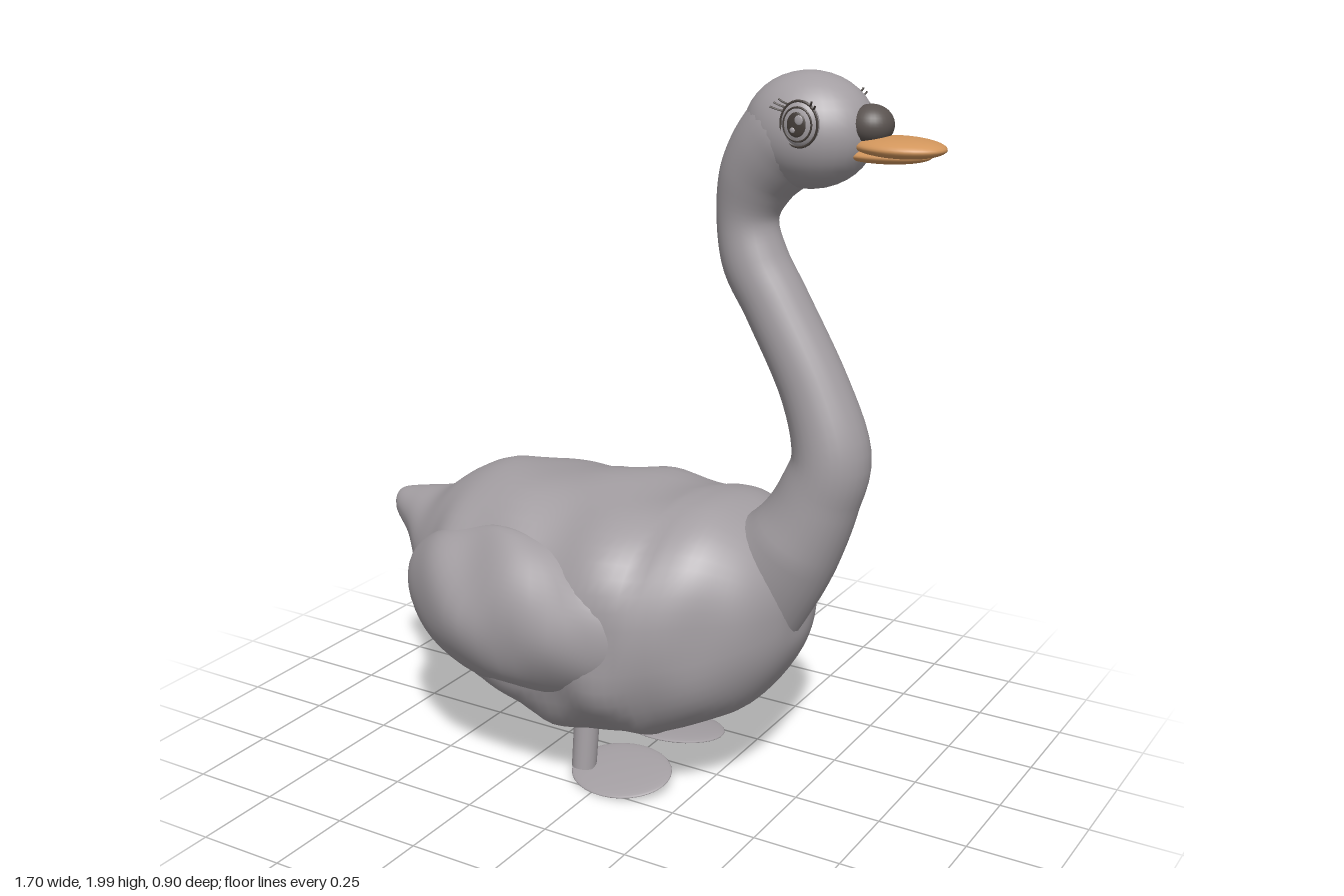
import * as THREE from 'three';

const mat = (name, color) => {
  const m = new THREE.MeshStandardMaterial({ color });
  m.name = name;
  return m;
};

// Skin a list of rings (each an array of [x, y, z]) into one smooth surface
function loft(rings) {
  const n = rings[0].length, index = [];
  for (let i = 0; i < rings.length - 1; i++) {
    for (let j = 0; j < n; j++) {
      const a = i * n + j, b = i * n + (j + 1) % n;
      index.push(a, b, a + n, b, b + n, a + n);
    }
  }
  const g = new THREE.BufferGeometry();
  g.setAttribute('position', new THREE.Float32BufferAttribute(rings.flat(2), 3));
  g.setIndex(index);
  g.computeVertexNormals();
  return g;
}

const spline = pts => new THREE.CatmullRomCurve3(pts.map(p => new THREE.Vector3(...p)), false, 'catmullrom');

// Soft uneven bumps for the plumage
const lump = (x, y, z) =>
  Math.sin(11 * x + 5 * y + 1) * Math.sin(12 * z + 3 * x) * 0.5 +
  Math.sin(21 * x - 9 * z) * Math.sin(17 * y + 8 * z + 2) * 0.5;

// Folded wing: a flattened ellipsoid bent around the flank
function wingGeometry(side, spread) {
  const g = new THREE.SphereGeometry(1, 48, 32);
  const p = g.attributes.position;
  for (let i = 0; i < p.count; i++) {
    const u = p.getX(i), v = p.getY(i), w = p.getZ(i);
    const x = -0.19 + u * 0.45, y = 0.52 + v * (0.225 - 0.02 * u);
    const bend = (u < 0 ? 0.12 : 0.06) * u * u + 0.05 * v * v;
    const bump = 0.016 * lump(x, y, w * 0.2 + side * 0.3) * (1 - u ** 4);
    p.setXYZ(i, x, y + bump, side * (spread - bend + bump) + w * 0.12);
  }
  g.computeVertexNormals();
  return g;
}

export function createModel() {
  const goose = new THREE.Group();
  goose.name = 'goose';
  const grey = mat('plumage grey', 0xa39ea2);
  const orange = mat('beak orange', 0xd2965c);
  const dark = mat('nose dark', 0x5a5350);
  const line = mat('eye line', 0x453e3a);

  const add = (name, geo, material, pos = [0, 0, 0], scale = [1, 1, 1], rot = [0, 0, 0], parent = goose) => {
    const m = new THREE.Mesh(geo, material);
    m.name = name;
    m.position.set(...pos);
    m.scale.set(...scale);
    m.rotation.set(...rot);
    parent.add(m);
  };
  const ball = new THREE.SphereGeometry(1, 32, 20);

  // Body and tail: x, bottom, top, half width
  const sections = [
    [-0.85, 0.63, 0.645, 0.005], [-0.835, 0.595, 0.675, 0.04], [-0.75, 0.53, 0.695, 0.1],
    [-0.66, 0.42, 0.715, 0.185], [-0.56, 0.30, 0.775, 0.285], [-0.45, 0.245, 0.83, 0.365],
    [-0.3, 0.195, 0.83, 0.395], [-0.15, 0.145, 0.84, 0.405], [0, 0.15, 0.84, 0.405],
    [0.15, 0.175, 0.85, 0.385], [0.28, 0.225, 0.85, 0.345], [0.38, 0.29, 0.81, 0.275],
    [0.45, 0.38, 0.74, 0.2], [0.49, 0.47, 0.66, 0.1], [0.495, 0.55, 0.57, 0.01]];
  const heights = spline(sections.map(s => [s[0], s[1], s[2]]));
  const widths = spline(sections.map(s => [s[3], 0, 0]));
  const bodyRings = [];
  for (let i = 0; i <= 70; i++) {
    const h = heights.getPoint(i / 70), w = Math.max(widths.getPoint(i / 70).x, 0.004);
    const mid = (h.y + h.z) / 2, half = Math.abs(h.z - h.y) / 2;
    // The rump slopes more on top and is squarer underneath
    const rear = THREE.MathUtils.smoothstep(-h.x, -0.05, 0.4);
    bodyRings.push(Array.from({ length: 48 }, (_, j) => {
      const a = j / 48 * Math.PI * 2, c = Math.cos(a), s = Math.sin(a);
      const e = 0.83 + rear * (c > 0 ? 0.2 : -0.07);
      const y = mid + half * Math.sign(c) * Math.abs(c) ** e;
      const z = w * Math.sign(s) * Math.abs(s) ** e;
      const k = 1 + 0.05 * lump(h.x, y, z) * Math.min(1, w / 0.3) * (h.x > 0.2 ? 0.4 : 1);
      return [h.x, mid + (y - mid) * k, z * k];
    }));
  }
  add('body', loft(bodyRings), grey);

  add('leftWing', wingGeometry(1, 0.34), grey);
  add('rightWing', wingGeometry(-1, 0.325), grey);

  // Neck: x, y, radius
  const neck = spline([[0.2, 0.5, 0.25], [0.32, 0.6, 0.205], [0.425, 0.7, 0.155], [0.495, 0.8, 0.126],
    [0.545, 0.91, 0.11], [0.575, 1.03, 0.103], [0.52, 1.2, 0.09], [0.41, 1.4, 0.086], [0.345, 1.51, 0.086],
    [0.32, 1.62, 0.08], [0.345, 1.72, 0.1], [0.4, 1.8, 0.12], [0.46, 1.85, 0.128], [0.52, 1.87, 0.1]]);
  const neckRings = [];
  for (let i = 0; i <= 70; i++) {
    const c = neck.getPoint(i / 70), t = neck.getTangent(i / 70);
    const l = Math.hypot(t.x, t.y);
    neckRings.push(Array.from({ length: 28 }, (_, j) => {
      const a = j / 28 * Math.PI * 2, u = c.z * Math.cos(a);
      return [c.x - u * t.y / l, c.y + u * t.x / l, Math.min(c.z, 0.13) * Math.sin(a) + 0.006];
    }));
  }
  add('neck', loft(neckRings), grey);

  // Head, nose and beak
  add('head', ball, grey, [0.485, 1.855, 0], [0.17, 0.145, 0.14]);
  add('nose', ball, dark, [0.65, 1.88, 0.005], [0.057, 0.05, 0.057]);
  add('upperBeak', ball, orange, [0.727, 1.832, 0.005], [0.118, 0.026, 0.083]);
  add('lowerBeak', ball, orange, [0.69, 1.81, 0.005], [0.12, 0.02, 0.06], [0, 0, 0.03]);

  // Eyes with rings, highlights and lashes; local +x is forward on the left, backward on the right
  for (const side of [1, -1]) {
    const eye = new THREE.Group();
    eye.name = side > 0 ? 'leftEye' : 'rightEye';
    eye.position.set(0.52, 1.888, side * 0.135);
    if (side < 0) eye.rotation.y = Math.PI;
    goose.add(eye);
    const part = (name, geo, material, pos, scale) => add(name, geo, material, pos, scale, [0, 0, 0], eye);
    part('eyeball', ball, grey, [0, 0, -0.008], [0.05, 0.057, 0.024]);
    part('eyeRim', new THREE.TorusGeometry(0.049, 0.003, 8, 32), line, [0, 0, 0], [1, 1.12, 1]);
    part('irisRim', new THREE.TorusGeometry(0.037, 0.0025, 8, 32), line, [0, 0, 0.008], [1, 1.1, 1]);
    part('pupil', ball, line, [0, 0, 0.014], [0.025, 0.03, 0.005]);
    part('highlight', ball, grey, [side * 0.008, 0.012, 0.018], [0.011, 0.012, 0.003]);
    part('smallHighlight', ball, grey, [side * -0.008, -0.013, 0.018], [0.007, 0.007, 0.003]);
    for (const a of [0.75, 0.95, 2.2, 2.4, 2.6]) {
      const reach = a < 1 ? 0.066 : 0.085, c = side * Math.cos(a), s = Math.sin(a);
      const curve = new THREE.QuadraticBezierCurve3(
        new THREE.Vector3(0.049 * c, 0.055 * s, 0),
        new THREE.Vector3(0.062 * c, 0.06 * s, 0.01),
        new THREE.Vector3(reach * c, 0.068 * s + 0.003, 0.012));
      part('lash', new THREE.TubeGeometry(curve, 6, 0.0025, 5), line);
    }
  }

  // Legs and flat oval feet
  const legGeo = new THREE.CylinderGeometry(0.037, 0.035, 0.22, 20);
  add('leftLeg', legGeo, grey, [-0.075, 0.145, 0.175], [1, 1, 1], [-0.12, 0, 0]);
  add('rightLeg', legGeo, grey, [-0.075, 0.145, -0.142]);
  add('leftFoot', ball, grey, [0.035, 0.04, 0.165], [0.152, 0.012, 0.115], [0.24, 0, 0.05]);
  add('rightFoot', ball, grey, [0.035, 0.041, -0.142], [0.152, 0.012, 0.112], [-0.07, 0, 0.05]);

  return goose;
}
